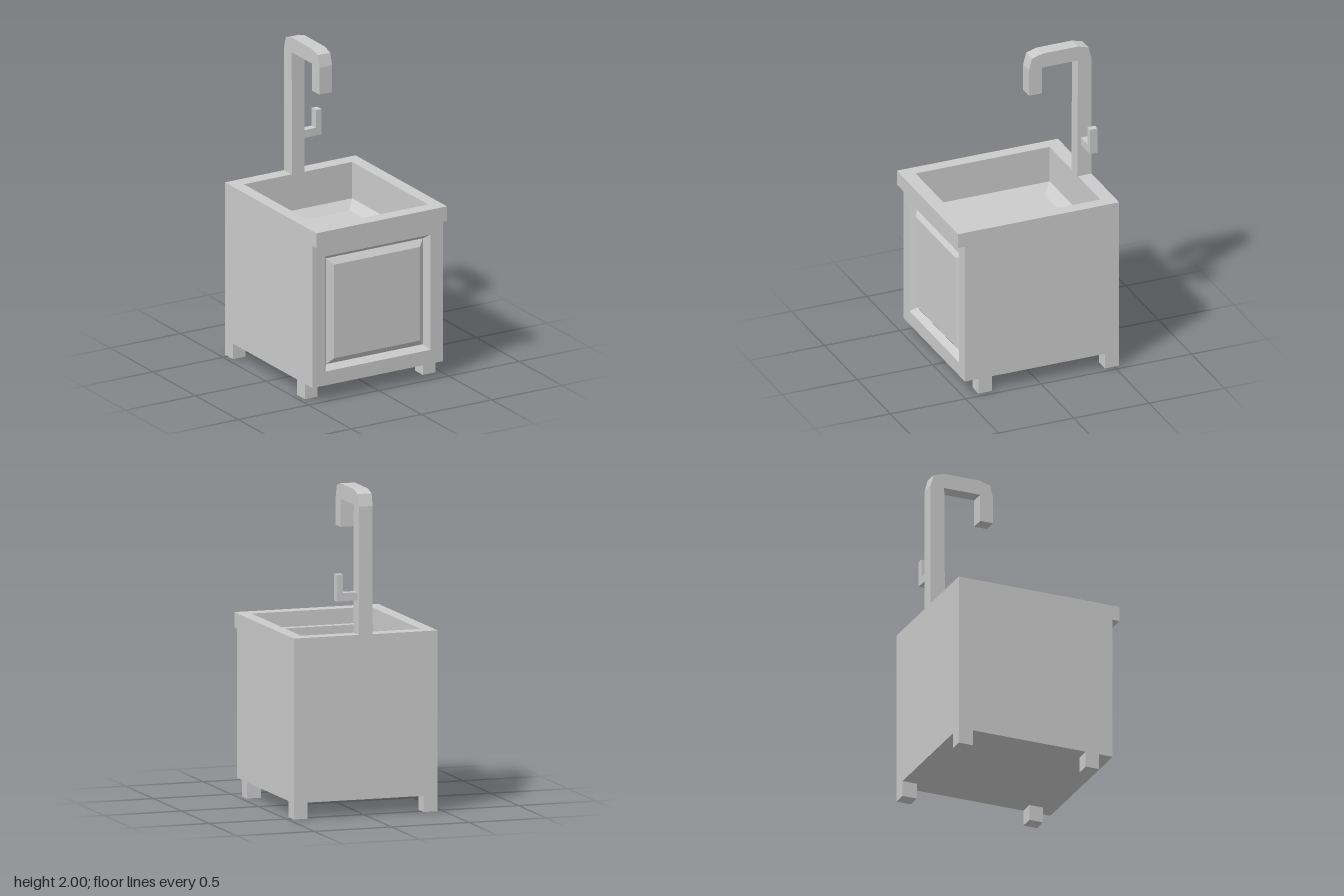
import * as THREE from 'three';

const material = new THREE.MeshStandardMaterial({ color: 0xcccccc, flatShading: true });

// Skin through stacked rectangles [halfWidth, z0, z1, y], capped at both ends
function rectLoft(rings) {
  const loops = rings.map(([x, z0, z1, y]) =>
    [[-x, z0], [-x, z1], [x, z1], [x, z0]].map(([px, pz]) => new THREE.Vector3(px, y, pz)));
  const points = [];
  const tri = (a, b, c) => {
    if (new THREE.Triangle(a, b, c).getArea() > 1e-7) points.push(a, b, c);
  };
  const quad = (a, b, c, d) => { tri(a, b, c); tri(a, c, d); };
  for (let r = 1; r < loops.length; r++) {
    for (let i = 0; i < 4; i++) {
      const j = (i + 1) % 4;
      quad(loops[r - 1][i], loops[r - 1][j], loops[r][j], loops[r][i]);
    }
  }
  quad(...[...loops[0]].reverse());
  quad(...loops[loops.length - 1]);
  const geometry = new THREE.BufferGeometry().setFromPoints(points);
  geometry.computeVertexNormals();
  return geometry;
}

// Box from its minimum and maximum corners
function box(x0, x1, y0, y1, z0, z1) {
  return new THREE.BoxGeometry(x1 - x0, y1 - y0, z1 - z0)
    .translate((x0 + x1) / 2, (y0 + y1) / 2, (z0 + z1) / 2);
}

// Outline given in [a, b], extruded by depth
function extrude(outline, depth) {
  const shape = new THREE.Shape(outline.map(([a, b]) => new THREE.Vector2(a, b)));
  return new THREE.ExtrudeGeometry(shape, { depth, bevelEnabled: false });
}

export function createModel() {
  const model = new THREE.Group();
  const add = (name, geometry) => {
    const mesh = new THREE.Mesh(geometry, material);
    mesh.name = name;
    model.add(mesh);
  };

  // Cabinet, overhanging rim, front ledge and sunken basin as one skin
  add('cabinetAndBasin', rectLoft([
    [0.465, -0.535, 0.40, 0.10],
    [0.465, -0.535, 0.40, 1.02],
    [0.465, -0.535, 0.535, 1.02],
    [0.465, -0.535, 0.535, 1.115],
    [0.385, -0.445, 0.445, 1.115],
    [0.385, -0.445, 0.445, 1.02],
    [0.385, -0.445, 0.395, 1.02],
    [0.385, -0.445, 0.395, 0.88],
    [0.33, -0.385, 0.38, 0.83],
  ]));

  // Front slab with a bevelled groove around a raised panel, tipped to face +z
  add('frontDoor', rectLoft([
    [0.465, -1.02, -0.10, 0.40],
    [0.465, -1.02, -0.10, 0.49],
    [0.375, -0.935, -0.19, 0.49],
    [0.345, -0.905, -0.22, 0.45],
    [0.305, -0.865, -0.26, 0.48],
  ]).rotateX(Math.PI / 2));

  // Legs
  for (const [side, x] of [['left', 0.42], ['right', -0.42]]) {
    add(side + 'FrontLeg', box(x - 0.045, x + 0.045, 0, 0.1, 0.31, 0.40));
    add(side + 'BackLeg', box(x - 0.045, x + 0.045, 0, 0.1, -0.535, -0.44));
  }

  // Faucet: hooked side outline in [z, y], extruded across x
  const faucet = extrude([
    [-0.535, 1.11], [-0.44, 1.11], [-0.445, 1.905], [-0.205, 1.905],
    [-0.205, 1.73], [-0.12, 1.73], [-0.12, 1.905], [-0.14, 1.98],
    [-0.21, 2], [-0.445, 2], [-0.515, 1.98], [-0.535, 1.905],
  ], 0.09);
  add('faucet', faucet.rotateY(-Math.PI / 2).scale(1, 1, 1).translate(0.045, 0, 0));

  // L-shaped tap handle
  add('tapHandle', extrude([
    [0.04, 1.325], [0.18, 1.325], [0.18, 1.49],
    [0.14, 1.49], [0.14, 1.375], [0.04, 1.375],
  ], 0.05).translate(0, 0, -0.515));

  return model;
}
